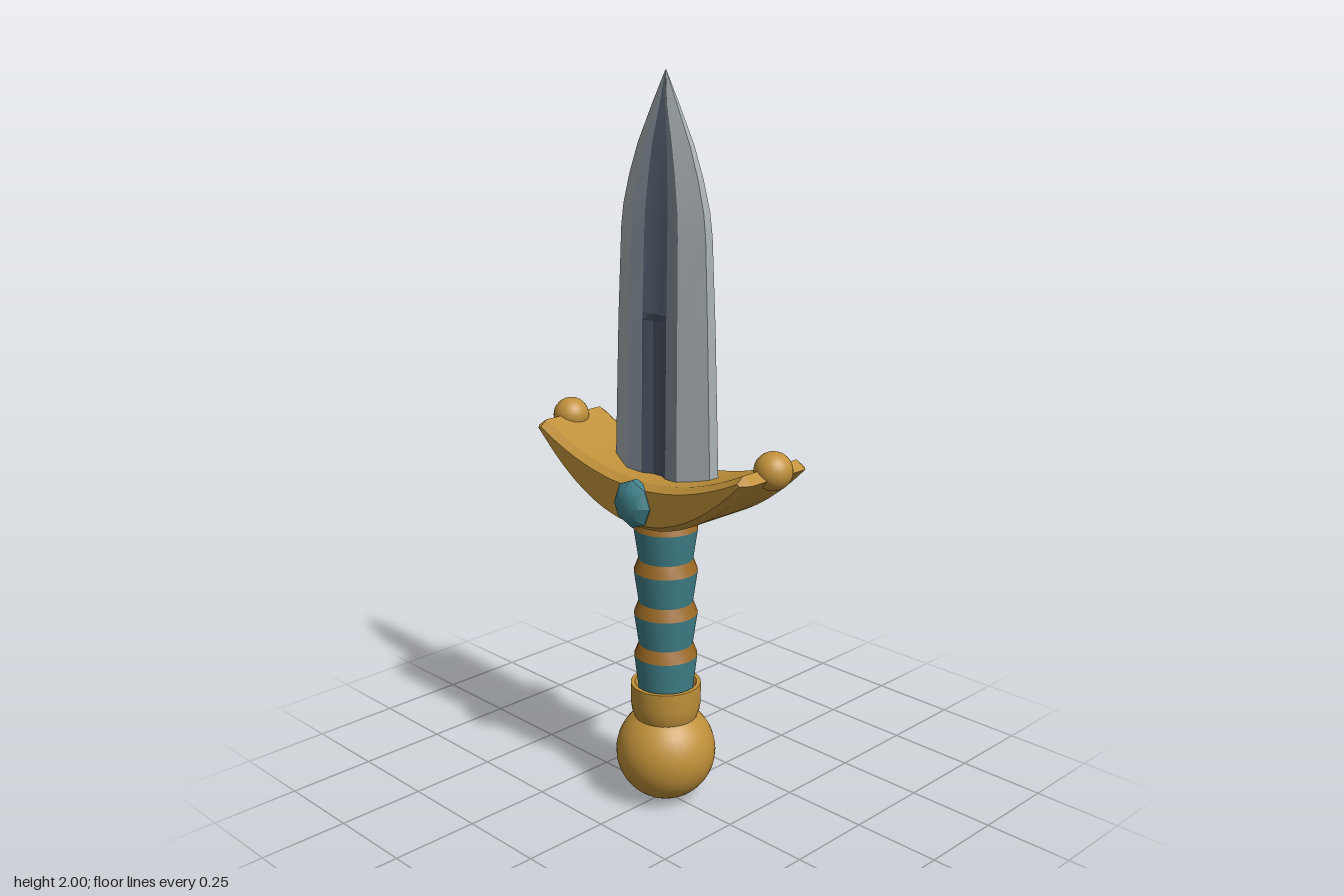
import * as THREE from 'three';
import { toCreasedNormals } from 'three/addons/utils/BufferGeometryUtils.js';

const mat = (name, color, extra = {}) => {
  const m = new THREE.MeshStandardMaterial({ color, ...extra });
  m.name = name;
  return m;
};

export function createModel() {
  const gold = mat('gold', 0xc0913a);
  const bronze = mat('bronze', 0x9c6a24);
  const teal = mat('teal', 0x40818a);
  const steel = mat('steel', 0xa8b0b3);
  const midSteel = mat('mid steel', 0x86919c);
  const darkSteel = mat('dark steel', 0x5c6a7b);
  const grooveSteel = mat('groove steel', 0x495264);

  const dagger = new THREE.Group();
  dagger.name = 'dagger';
  const add = (name, geometry, material, parent = dagger) => {
    const m = new THREE.Mesh(geometry, material);
    m.name = name;
    parent.add(m);
    return m;
  };
  const lathe = (pts, sides) => toCreasedNormals(
    new THREE.LatheGeometry(pts.map(p => new THREE.Vector2(...p)), sides), 0.5);

  // Blade levels: y, half width, half thickness, ridge x, fuller x, groove x, groove z
  const levels = [
    [0.90, 0.180, 0.055, 0.095, 0.045, 0.016, 0.030],
    [1.37, 0.164, 0.049, 0.090, 0.044, 0.016, 0.030],
    [1.39, 0.163, 0.048, 0.090, 0.044, 0.016, 0.037],
    [1.60, 0.153, 0.042, 0.085, 0.042, 0.015, 0.033],
    [1.66, 0.145, 0.039, 0.080, 0.040, 0.014, 0.031],
    [1.74, 0.123, 0.033, 0.066, 0.034, 0.012, 0.027],
    [1.82, 0.093, 0.026, 0.048, 0.026, 0.009, 0.022],
    [1.92, 0.043, 0.014, 0.018, 0.009, 0.003, 0.013],
    [2.00, 0.001, 0.001, 0.0006, 0.0004, 0.0002, 0.001],
  ];
  // One side of the cross-section, from left edge round to the far corner of the right edge
  const section = ([y, w, t, a, b, c, g]) => [
    [-w, y, t * 0.3], [-a, y, t], [-b, y, t * 0.87], [-c, y, g],
    [c, y, g], [b, y, t * 0.87], [a, y, t], [w, y, t * 0.3], [w, y, -t * 0.3],
  ];
  const strips = (rows, columns) => {
    const pos = [];
    const s = rows.map(section);
    for (let i = 0; i + 1 < s.length; i++) {
      for (const j of columns) {
        const [p, q, r, u] = [s[i][j], s[i][j + 1], s[i + 1][j + 1], s[i + 1][j]];
        pos.push(...p, ...q, ...r, ...p, ...r, ...u);
      }
    }
    const g = new THREE.BufferGeometry();
    g.setAttribute('position', new THREE.Float32BufferAttribute(pos, 3));
    g.computeVertexNormals();
    return toCreasedNormals(g, 0.3);
  };
  const cuttingEdges = strips(levels, [0, 6, 7]);
  const ridges = strips(levels, [1, 5]);
  const upperFuller = strips(levels.slice(2), [2, 3, 4]);
  const lowerFuller = strips(levels.slice(0, 3), [2, 3, 4]);

  // Gem, turned on its side so that it bulges out of the guard
  const gem = lathe([[0.066, 0.105], [0.066, 0.125], [0.046, 0.146], [0.026, 0.155], [0, 0.155]], 8);
  gem.rotateX(Math.PI / 2);

  // Both faces of the blade and both gems
  for (const [side, angle] of [['front', 0], ['back', Math.PI]]) {
    const half = new THREE.Group();
    half.name = side + 'Half';
    half.rotation.y = angle;
    add('cuttingEdges', cuttingEdges, steel, half);
    add('bladeRidges', ridges, midSteel, half);
    add('upperFuller', upperFuller, darkSteel, half);
    add('lowerFuller', lowerFuller, grooveSteel, half);
    add('gem', gem, teal, half).position.y = 0.895;
    dagger.add(half);
  }

  // Crescent guard with bevelled edges
  const crescent = new THREE.Shape();
  crescent.moveTo(-0.4, 1.03);
  crescent.quadraticCurveTo(0, 0.62, 0.4, 1.03);
  crescent.lineTo(0.37, 1.05);
  crescent.quadraticCurveTo(0, 0.86, -0.37, 1.05);
  crescent.closePath();
  const guard = new THREE.ExtrudeGeometry(crescent, {
    depth: 0.2, curveSegments: 20, bevelEnabled: true, bevelSegments: 1,
    bevelThickness: 0.022, bevelSize: 0.015, bevelOffset: -0.015,
  });
  guard.translate(0, 0, -0.1);
  add('guard', toCreasedNormals(guard, 0.4), gold);
  for (const s of [-1, 1]) {
    add('guardBall', new THREE.SphereGeometry(0.05, 24, 16), gold).position.set(s * 0.38, 1.043, 0);
  }

  // Grip: flared wraps separated by tapering bands
  const wraps = [[0.32, 0.432], [0.466, 0.556], [0.59, 0.68], [0.714, 0.802]];
  wraps.forEach(([y0, y1], i) => {
    add('gripWrap', lathe([[0.075, y0], [0.088, y1]], 20), teal);
    const next = i < 3 ? wraps[i + 1][0] : 0.84;
    add('gripBand', lathe([[0.088, y1], [0.075, next]], 20), bronze);
  });

  // Collar with a recessed top, and the round pommel
  add('collar', lathe([[0.085, 0.24], [0.094, 0.265], [0.098, 0.29], [0.098, 0.347],
    [0.086, 0.347], [0.074, 0.325]], 28), gold);
  add('pommel', new THREE.SphereGeometry(0.14, 32, 20), gold).position.y = 0.14;

  return dagger;
}
